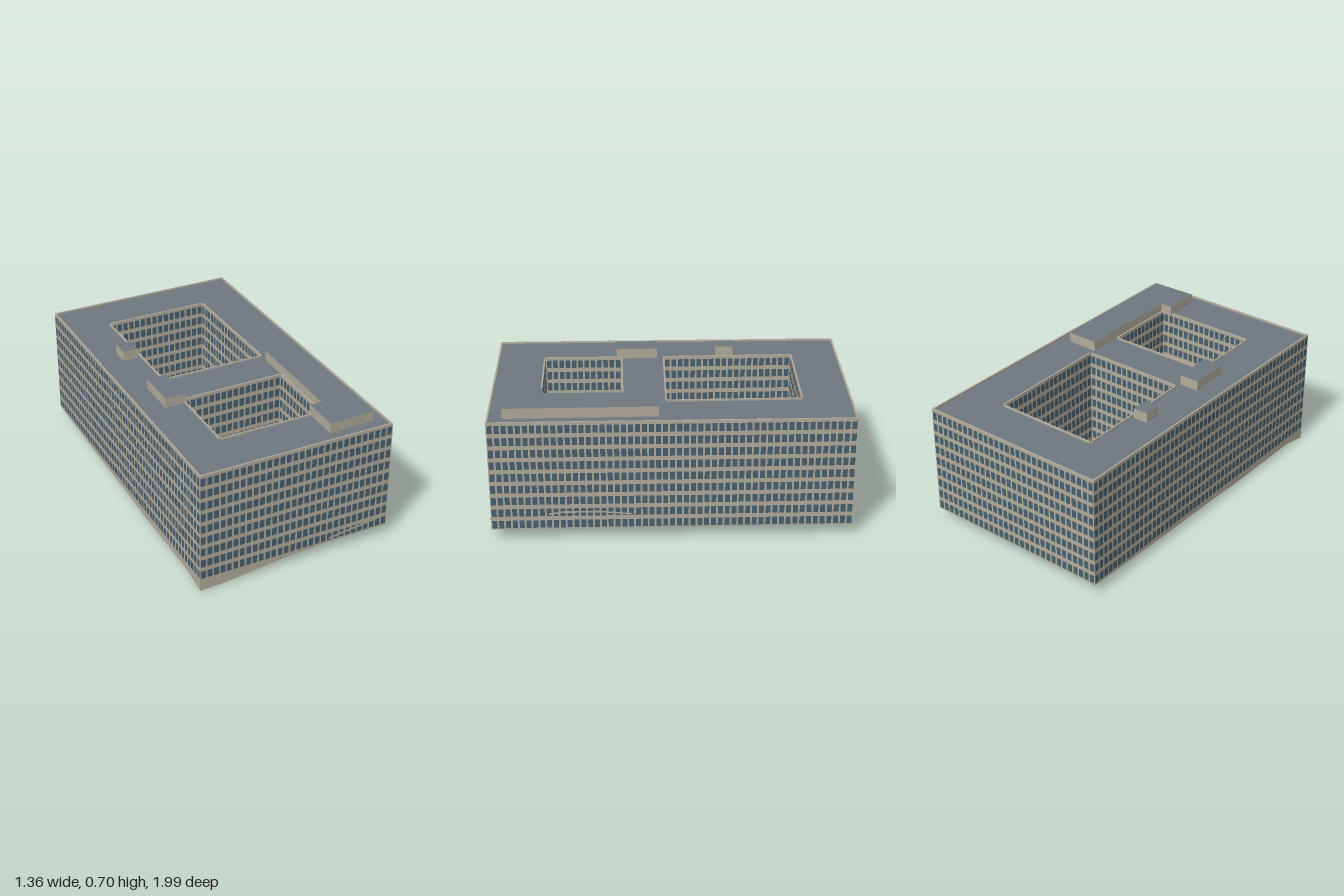
import * as THREE from 'three';

const D = THREE.DoubleSide;
const stone = new THREE.MeshStandardMaterial({ color: 0xb2ab9c, side: D });
stone.name = 'stone';
const glass = new THREE.MeshStandardMaterial({ color: 0x46606f, side: D });
glass.name = 'glass';
const roofing = new THREE.MeshStandardMaterial({ color: 0x6d787e, side: D });
roofing.name = 'roofing';

const TOP = 0.66, ROOF = 0.648, ROWS = 9, STOREY = 0.0663, WIN_TOP = 0.643, WIN_H = 0.043;
const WIN_BOTTOM = WIN_TOP - STOREY * (ROWS - 1) - WIN_H;

// Plan corners as [x, z]; outer ring runs front, left, back, right
const outer = [[-0.35, 0.995], [0.68, 0.805], [0.345, -0.997], [-0.682, -0.81]];
const backCourt = [[-0.41, -0.6], [0.14, -0.7], [0.27, -0.03], [-0.28, 0.07]];
const frontCourt = [[-0.237, 0.3], [0.307, 0.195], [0.38, 0.597], [-0.165, 0.7]];

// Lower edge of each outer wall as [fraction along wall, height]
const grades = [
  [[0, 0], [0.1, 0.004], [0.25, 0.02], [0.45, 0.045], [0.65, 0.058], [1, 0.062]],
  [[0, 0.062], [1, 0.062]],
  [[0, 0.062], [1, 0.06]],
  [[0, 0.06], [0.25, 0.045], [0.55, 0.035], [0.65, 0.028], [0.92, 0.028], [0.97, 0.012], [1, 0]],
];

// Collects quads lying in a wall plane, given in (fraction, height)
function wallSheet(a, b, offset = 0) {
  const pos = [], len = Math.hypot(b[0] - a[0], b[1] - a[1]);
  const nx = -(b[1] - a[1]) / len * offset, nz = (b[0] - a[0]) / len * offset;
  const put = (t, y) => pos.push(a[0] + (b[0] - a[0]) * t + nx, y, a[1] + (b[1] - a[1]) * t + nz);
  return {
    len,
    quad(t0, t1, y0, y1, yb0 = y0, yt1 = y1) {
      // y0/y1: bottom/top at t1 and t0; yb0/yt1 allow sloping edges
      put(t0, yb0); put(t1, y0); put(t1, yt1);
      put(t0, yb0); put(t1, yt1); put(t0, y1);
    },
    mesh(material, name) {
      const g = new THREE.BufferGeometry();
      g.setAttribute('position', new THREE.Float32BufferAttribute(pos, 3));
      g.computeVertexNormals();
      const m = new THREE.Mesh(g, material);
      m.name = name;
      return m;
    },
  };
}

// One facade: stone bands and piers, glass panes, base following the grade
function facade(a, b, grade, name) {
  const group = new THREE.Group();
  group.name = name;
  const walls = wallSheet(a, b), panes = wallSheet(a, b);
  const n = Math.round(walls.len / 0.0348), pier = 0.14 / n;
  for (let r = 0; r < ROWS; r++) {
    const top = WIN_TOP - r * STOREY, low = top - WIN_H;
    walls.quad(0, 1, top, r ? top + STOREY - WIN_H : TOP);
    for (let i = 0; i < n; i++) {
      const t0 = i / n, t1 = (i + 1) / n;
      walls.quad(t0, t0 + pier, low, top);
      panes.quad(t0 + pier, t1 - pier, low, top);
      walls.quad(t1 - pier, t1, low, top);
    }
  }
  for (let i = 0; i + 1 < grade.length; i++) {
    const [t0, y0] = grade[i], [t1, y1] = grade[i + 1];
    walls.quad(t0, t1, y1, WIN_BOTTOM, y0, WIN_BOTTOM);
  }
  group.add(walls.mesh(stone, 'wallBands'), panes.mesh(glass, 'windows'));

  // Low parapet just inside the roof edge
  const len = walls.len, w = 0.008;
  const coping = new THREE.Mesh(new THREE.BoxGeometry(len, TOP - ROOF, w), stone);
  const dx = (b[0] - a[0]) / len, dz = (b[1] - a[1]) / len, inset = w / 2 + 0.0005;
  coping.position.set((a[0] + b[0]) / 2 + dz * inset, (TOP + ROOF) / 2, (a[1] + b[1]) / 2 - dx * inset);
  coping.rotation.y = -Math.atan2(dz, dx);
  coping.name = 'parapet';
  group.add(coping);
  return group;
}

// Thin sloping stone strip on a facade where the ground line crosses it
function gradeStrip(a, b, points, thick) {
  const sheet = wallSheet(a, b, 0.002);
  for (let i = 0; i + 1 < points.length; i++) {
    const [t0, y0] = points[i], [t1, y1] = points[i + 1];
    sheet.quad(t0, t1, y1, y0 + thick, y0, y1 + thick);
  }
  return sheet.mesh(stone, 'gradeStrip');
}

const toVectors = (pts) => pts.map(([x, z]) => new THREE.Vector2(x, -z));

// Rooftop plant room with roofing on top and stone sides
function plantRoom(pts, name) {
  const g = new THREE.ExtrudeGeometry(new THREE.Shape(toVectors(pts)), { depth: 0.705 - ROOF, bevelEnabled: false });
  g.rotateX(-Math.PI / 2);
  const m = new THREE.Mesh(g, [roofing, stone]);
  m.position.y = ROOF;
  m.name = name;
  return m;
}

export function createModel() {
  const model = new THREE.Group();
  model.name = 'officeBlock';

  // Outer facades
  const sides = ['frontFacade', 'leftFacade', 'backFacade', 'rightFacade'];
  outer.forEach((a, i) => model.add(facade(a, outer[(i + 1) % 4], grades[i], sides[i])));
  model.add(
    gradeStrip(outer[0], outer[1], [[0.68, 0.076], [0.85, 0.098], [1, 0.118]], 0.012),
    gradeStrip(outer[1], outer[2], [[0.16, 0.142], [0.2, 0.154], [0.3, 0.154], [0.39, 0.138]], 0.01),
  );

  // Courtyard facades
  [[backCourt, 0.06, 'backCourtWall'], [frontCourt, 0.042, 'frontCourtWall']].forEach(([court, base, name]) => {
    court.forEach((a, i) => model.add(facade(a, court[(i + 1) % 4], [[0, base], [1, base]], name)));
  });

  // Flat roof with two courtyard openings
  const shape = new THREE.Shape(toVectors(outer));
  shape.holes = [backCourt, frontCourt].map((c) => new THREE.Path(toVectors(c)));
  const roof = new THREE.Mesh(new THREE.ShapeGeometry(shape).rotateX(-Math.PI / 2), roofing);
  roof.position.y = ROOF + 0.003;
  roof.name = 'roof';
  model.add(roof);

  // Rooftop plant rooms
  model.add(
    plantRoom([[0.285, 0.01], [0.455, -0.02], [0.602, 0.742], [0.36, 0.795], [0.325, 0.6], [0.387, 0.585]], 'longPlantRoom'),
    plantRoom([[-0.383, 0.13], [-0.28, 0.11], [-0.235, 0.322], [-0.342, 0.345]], 'middlePlantRoom'),
    plantRoom([[-0.452, -0.275], [-0.372, -0.29], [-0.354, -0.2], [-0.434, -0.185]], 'smallPlantRoom'),
  );
  return model;
}
